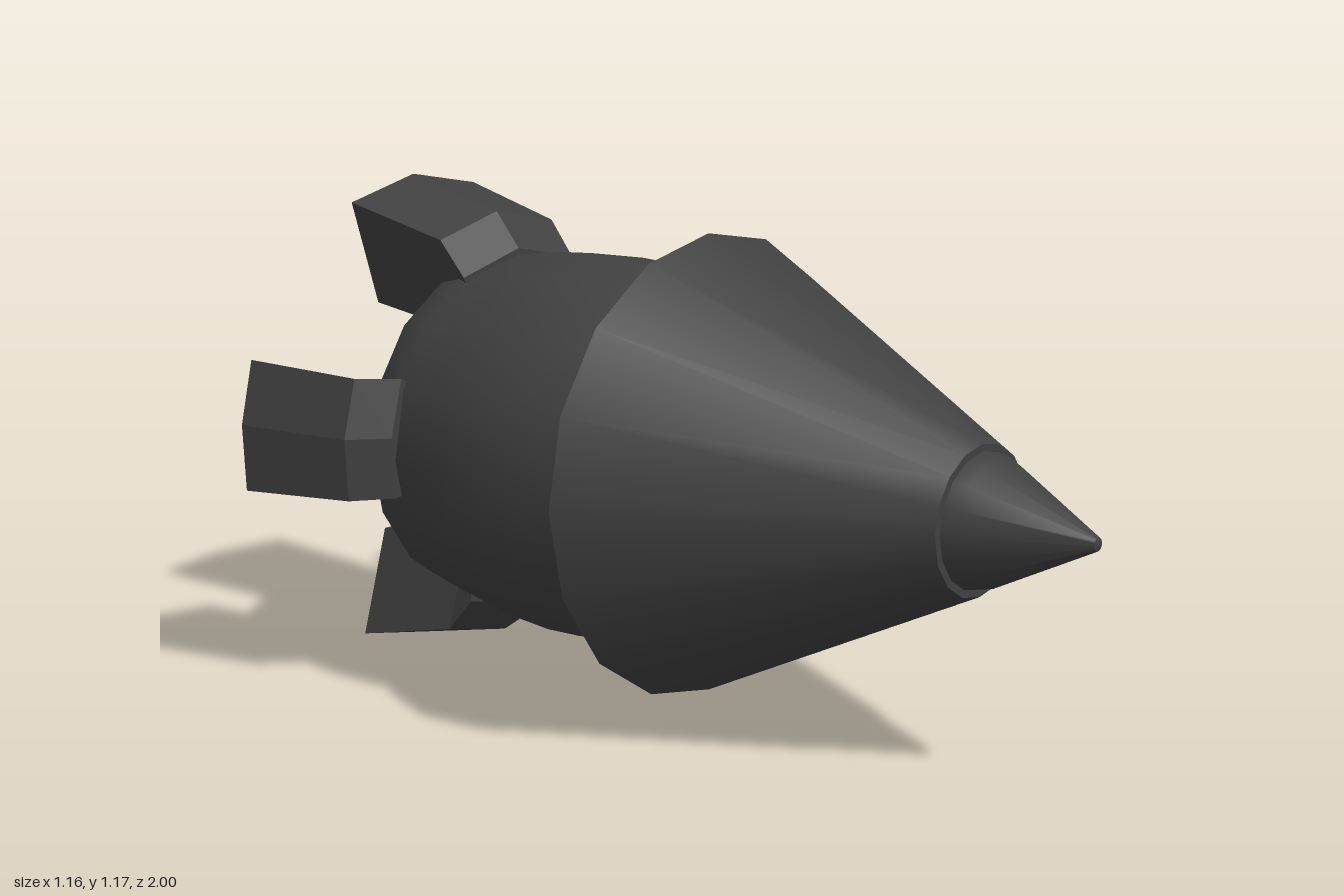
import * as THREE from 'three';
import { toCreasedNormals } from 'three/addons/utils/BufferGeometryUtils.js';

const CY = 0.585; // height of the long axis

const material = new THREE.MeshStandardMaterial({ color: 0x404040 });

// Turned part along z; profile is [radius, z] from back to front
function turned(name, profile, crease = 0.5) {
  const pts = profile.map(([r, z]) => new THREE.Vector2(r, z));
  const geo = new THREE.LatheGeometry(pts, 16).rotateX(Math.PI / 2);
  const mesh = new THREE.Mesh(toCreasedNormals(geo, crease), material);
  mesh.name = name;
  mesh.position.y = CY;
  return mesh;
}

// Wedge fin lofted through three sections; points are [sideways, radial], counterclockwise
function fin(name, section, angle) {
  const stations = [ // z, width scale, drop of the outer edge, drop of the inner edge
    [-0.65, 0.9, 0.145, 0.04],
    [-0.72, 0.92, 0.063, 0.04],
    [-1, 1, 0, 0],
  ];
  const n = section.length;
  const pos = [], idx = [];
  for (const [z, w, outer, inner] of stations)
    for (const [u, r] of section) pos.push(u * w, r - (r > 0.4 ? outer : inner), z);
  for (let s = 0; s < stations.length - 1; s++)
    for (let i = 0; i < n; i++) {
      const a = s * n + i, b = s * n + (i + 1) % n;
      idx.push(a, a + n, b, b, a + n, b + n);
    }
  const end = (stations.length - 1) * n;
  for (let i = 1; i < n - 1; i++) {
    idx.push(0, i, i + 1);
    idx.push(end, end + i + 1, end + i);
  }
  const indexed = new THREE.BufferGeometry();
  indexed.setAttribute('position', new THREE.Float32BufferAttribute(pos, 3));
  indexed.setIndex(idx);
  const geo = indexed.toNonIndexed();
  geo.computeVertexNormals();
  const mesh = new THREE.Mesh(geo, material);
  mesh.name = name;
  mesh.position.y = CY;
  mesh.rotation.z = angle;
  return mesh;
}

export function createModel() {
  const model = new THREE.Group();
  model.name = 'rocket';

  // Pointed tip and the flared cone behind it
  model.add(turned('noseTip', [[0, 0.69], [0.155, 0.69], [0.145, 0.735], [0.015, 0.995], [0, 1]]));
  model.add(turned('noseCone', [[0, -0.06], [0.54, -0.06], [0.17, 0.7], [0, 0.7]]));

  // Barrel-shaped hull with rounded tail
  model.add(turned('hull', [
    [0.2, -0.8], [0.2, -0.83], [0.26, -0.83], [0.35, -0.805], [0.4, -0.755], [0.42, -0.68],
    [0.426, -0.64], [0.446, -0.52], [0.455, -0.41], [0.452, -0.31], [0.437, -0.19], [0.405, -0.06],
  ], 0.62));

  // Exhaust ring with a recessed bore
  model.add(turned('exhaust', [
    [0, -0.78], [0.09, -0.78], [0.09, -0.838], [0.175, -0.838], [0.175, -0.8], [0.21, -0.8],
  ]));

  // Upright fins are symmetrical, side fins are skewed and mirrored
  const upright = [[0.208, 0.54], [0, 0.585], [-0.208, 0.54], [-0.13, 0.285], [0.13, 0.285]];
  const side = [[0.1, 0.573], [-0.06, 0.58], [-0.21, 0.543], [-0.13, 0.29], [0.085, 0.29]];
  const mirrored = side.map(([u, r]) => [-u, r]).reverse();
  model.add(fin('topFin', upright, 0));
  model.add(fin('bottomFin', upright, Math.PI));
  model.add(fin('leftFin', side, -Math.PI / 2));
  model.add(fin('rightFin', mirrored, Math.PI / 2));

  return model;
}
